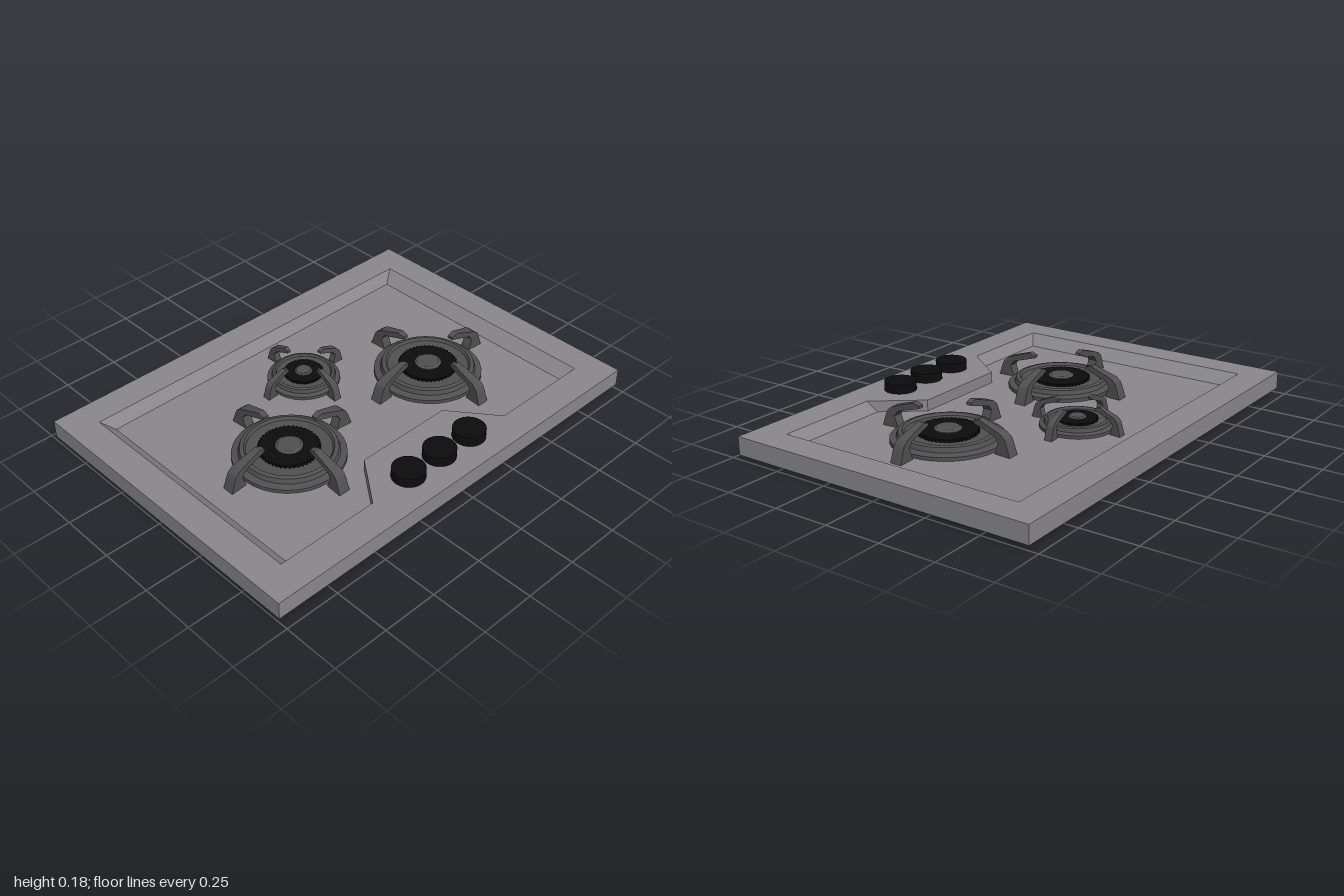
import * as THREE from 'three';
import { toCreasedNormals } from 'three/addons/utils/BufferGeometryUtils.js';

const steel = new THREE.MeshStandardMaterial({ color: 0x8a888c });
steel.name = 'steel';
const iron = new THREE.MeshStandardMaterial({ color: 0x505050 });
iron.name = 'cast iron';
const black = new THREE.MeshStandardMaterial({ color: 0x0c0c0c });
black.name = 'black';

const FLOOR = 0.05, TOP = 0.1, BOTTOM = 0.02;

function add(parent, name, geometry, material) {
  const mesh = new THREE.Mesh(geometry, material);
  mesh.name = name;
  parent.add(mesh);
  return mesh;
}

// Outlines hold [x, -z] pairs, counterclockwise from above
const toVectors = (outline) => outline.map(([x, s]) => new THREE.Vector2(x, s));

function flatFace(outline, y, hole) {
  const shape = new THREE.Shape(toVectors(outline));
  if (hole) shape.holes.push(new THREE.Path(toVectors(hole)));
  return new THREE.ShapeGeometry(shape).rotateX(-Math.PI / 2).translate(0, y, 0);
}

// Band of quads between two matching outlines
function wallBand(a, ya, b, yb) {
  const pos = [];
  a.forEach((p, i) => {
    const j = (i + 1) % a.length;
    const A = [p[0], ya, -p[1]], B = [a[j][0], ya, -a[j][1]];
    const C = [b[j][0], yb, -b[j][1]], D = [b[i][0], yb, -b[i][1]];
    pos.push(...A, ...B, ...C, ...A, ...C, ...D);
  });
  const g = new THREE.BufferGeometry();
  g.setAttribute('position', new THREE.Float32BufferAttribute(pos, 3));
  g.computeVertexNormals();
  return g;
}

function buildHob() {
  const hob = new THREE.Group();
  hob.name = 'hobPlate';
  const edge = [[-0.71, -1], [0.71, -1], [0.71, 1], [-0.71, 1]];
  const rim = [[-0.575, -0.865], [0.57, -0.865], [0.57, -0.39], [0.365, -0.235],
    [0.365, 0.23], [0.57, 0.39], [0.57, 0.87], [-0.575, 0.87]];
  const floor = [[-0.54, -0.81], [0.535, -0.81], [0.535, -0.364], [0.365, -0.235],
    [0.365, 0.23], [0.535, 0.363], [0.535, 0.815], [-0.54, 0.815]];
  add(hob, 'topSurface', flatFace(edge, TOP, rim), steel);
  add(hob, 'outerSides', wallBand(edge, BOTTOM, edge, TOP), steel);
  add(hob, 'recessWalls', wallBand(rim, TOP, floor, FLOOR), steel);
  add(hob, 'recessFloor', flatFace(floor, FLOOR), steel);
  const under = flatFace(edge, 0).rotateX(Math.PI).translate(0, BOTTOM, 0);
  add(hob, 'underside', under, steel);
  return hob;
}

const lathe = (points, sides = 32) => toCreasedNormals(
  new THREE.LatheGeometry(points.map(([r, y]) => new THREE.Vector2(r, y)), sides), 0.5);

// Curved pan support: a hooked side profile, wide at the foot and slim at the tip
function armGeometry() {
  const profile = [[0.25, 0], [0.328, 0], [0.312, 0.05], [0.302, 0.072], [0.28, 0.09],
    [0.17, 0.126], [0.14, 0.117], [0.14, 0.105], [0.25, 0.074], [0.268, 0.05]];
  const g = new THREE.ExtrudeGeometry(new THREE.Shape(toVectors(profile)),
    { depth: 2, bevelEnabled: false }).translate(0, 0, -1);
  const p = g.attributes.position;
  for (let i = 0; i < p.count; i++) {
    const t = (p.getX(i) - 0.14) / 0.188;
    p.setZ(i, p.getZ(i) * (0.013 + 0.014 * t));
  }
  g.computeVertexNormals();
  return g;
}

// Toothed flame ring
function flameRingGeometry() {
  const teeth = 44, outline = [];
  for (let i = 0; i < teeth * 2; i++) {
    const a = (i * Math.PI) / teeth, r = i % 2 ? 0.123 : 0.131;
    outline.push([r * Math.cos(a), r * Math.sin(a)]);
  }
  const shape = new THREE.Shape(toVectors(outline));
  shape.holes.push(new THREE.Path().absarc(0, 0, 0.05, 0, Math.PI * 2, true));
  return new THREE.ExtrudeGeometry(shape, { depth: 0.02, bevelEnabled: false })
    .rotateX(-Math.PI / 2).translate(0, 0.027, 0);
}

const bowl = lathe([[0.24, 0], [0.24, 0.016], [0.212, 0.024], [0.205, 0.044],
  [0.188, 0.048], [0.18, 0.036], [0.12, 0.034], [0, 0.034]]);
const cap = lathe([[0.058, 0.03], [0.058, 0.05], [0.048, 0.057], [0, 0.057]]);
const flameRing = flameRingGeometry();
const arm = armGeometry();

function buildBurner(name, x, z, size, height) {
  const burner = new THREE.Group();
  burner.name = name;
  add(burner, 'burnerBowl', bowl, iron);
  add(burner, 'flameRing', flameRing, black);
  add(burner, 'burnerCap', cap, iron);
  for (let i = 0; i < 4; i++) {
    add(burner, 'panSupport', arm, iron).rotation.y = (i * Math.PI) / 2;
  }
  burner.position.set(x, FLOOR, z);
  burner.scale.set(size, height, size);
  return burner;
}

export function createModel() {
  const model = new THREE.Group();
  model.name = 'gasHob';
  model.add(buildHob());
  model.add(buildBurner('rearBurner', 0.085, -0.44, 1, 1));
  model.add(buildBurner('frontBurner', 0.085, 0.39, 1, 1));
  model.add(buildBurner('smallBurner', -0.26, -0.005, 0.67, 0.84));

  // Control knobs, with shafts reaching below the plate
  for (const z of [-0.185, -0.005, 0.175]) {
    const knob = new THREE.CylinderGeometry(0.071, 0.071, 0.143, 36);
    add(model, 'controlKnob', knob, black).position.set(0.555, 0.0715, z);
  }
  return model;
}
